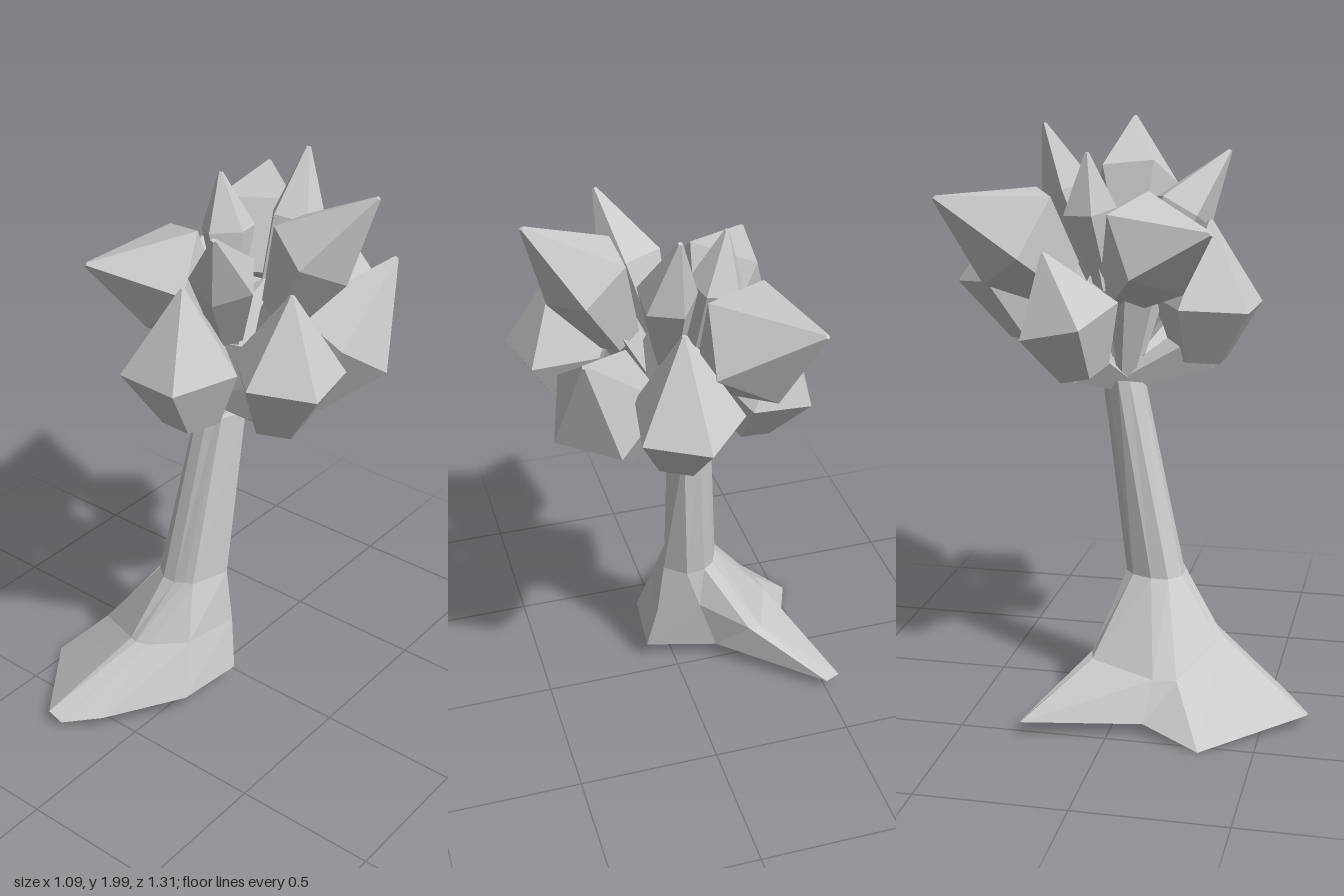
import * as THREE from 'three';

const material = new THREE.MeshStandardMaterial({ color: 0xcccccc, flatShading: true, side: THREE.DoubleSide });
const V = (p) => new THREE.Vector3(...p);

// Skin over a stack of rings (equal point counts, counter-clockwise about the axis), closed at the far end
function loft(rings, name, closedBase = true) {
  const pos = [];
  const tri = (...pts) => pts.forEach((p) => pos.push(p.x, p.y, p.z));
  const n = rings[0].length;
  const middle = (ring) => ring.reduce((s, p) => s.add(p), new THREE.Vector3()).divideScalar(n);
  const first = rings[0], last = rings[rings.length - 1];
  const c0 = middle(first), c1 = middle(last);
  for (let i = 0; i < n; i++) {
    const j = (i + 1) % n;
    for (let k = 0; k < rings.length - 1; k++) {
      const a = rings[k], b = rings[k + 1];
      tri(a[i], a[j], b[j]);
      tri(a[i], b[j], b[i]);
    }
    if (closedBase) tri(c0, first[j], first[i]);
    tri(c1, last[i], last[j]);
  }
  const geo = new THREE.BufferGeometry();
  geo.setAttribute('position', new THREE.Float32BufferAttribute(pos, 3));
  geo.computeVertexNormals();
  const mesh = new THREE.Mesh(geo, material);
  mesh.name = name;
  return mesh;
}

// Polygon ring around a centre, perpendicular to an axis
function ring(center, axis, radius, sides, turn) {
  const u = new THREE.Vector3(0, 0, 1).cross(axis).normalize();
  const v = axis.clone().cross(u).normalize();
  return Array.from({ length: sides }, (_, i) => {
    const t = turn + (i / sides) * Math.PI * 2;
    return center.clone().addScaledVector(u, Math.cos(t) * radius).addScaledVector(v, Math.sin(t) * radius);
  });
}

// Faceted leaf clump: narrow underside, wide waist, pointed tip
function clump({ bottom, waist, tip, r, turn = 0 }) {
  const b = V(bottom), w = V(waist), t = V(tip);
  const axis = t.clone().sub(b).normalize();
  return loft([
    ring(b, axis, r * 0.5, 5, turn),
    ring(w, axis, r, 5, turn),
    ring(t, axis, 0.008, 5, turn),
  ], 'leafClump');
}

// Branch that widens from the trunk top to a clump
function branch({ bottom, waist, r }) {
  const from = new THREE.Vector3(-0.02, 1.12, -0.04);
  const to = V(bottom).lerp(V(waist), 0.25);
  const axis = to.clone().sub(from).normalize();
  return loft([ring(from, axis, 0.035, 4, 0), ring(to, axis, r * 0.48, 4, 0)], 'branch');
}

export function createModel() {
  const group = new THREE.Group();

  // Hollow trunk with flared roots: corners run right, front, left, back
  const trunk = [
    // rim: broad front root, thin back root
    [[0.105, 0.08, 0.06], [0.08, 0.08, 0.31], [-0.1, 0.055, 0.56], [-0.22, 0.03, 0.65], [-0.28, 0.05, 0.65],
      [-0.54, 0.005, 0.32], [-0.46, 0.05, 0.12], [-0.55, 0.06, -0.28], [-0.5, 0.045, -0.29], [-0.15, 0.08, -0.01]],
    // shoulders of the roots
    [[0.07, 0.27, 0.03], [0.04, 0.27, 0.24], [-0.08, 0.25, 0.32], [-0.13, 0.25, 0.34], [-0.16, 0.25, 0.33],
      [-0.38, 0.18, 0.22], [-0.39, 0.18, 0.14], [-0.3, 0.2, -0.09], [-0.25, 0.21, -0.1], [-0.08, 0.3, -0.02]],
    // neck
    [[0.045, 0.47, 0.03], [0, 0.47, 0.17], [-0.03, 0.47, 0.18], [-0.07, 0.46, 0.19], [-0.12, 0.46, 0.19],
      [-0.17, 0.46, 0.15], [-0.17, 0.46, 0.09], [-0.14, 0.46, 0.02], [-0.1, 0.46, -0.01], [-0.03, 0.46, -0.02]],
    // top
    [[0.055, 1.1, -0.06], [0.02, 1.1, 0.03], [0, 1.1, 0.035], [-0.03, 1.11, 0.045], [-0.07, 1.13, 0.04],
      [-0.1, 1.14, 0], [-0.105, 1.14, -0.04], [-0.08, 1.12, -0.08], [-0.05, 1.1, -0.1], [0.01, 1.08, -0.115]],
  ];
  group.add(loft(trunk.map((r) => r.map(V).reverse()), 'trunk', false));

  // Crown of leaf clumps
  const clumps = [
    // lower tier
    { bottom: [0.33, 1.24, 0.13], waist: [0.37, 1.44, 0.13], tip: [0.38, 1.71, 0.13], r: 0.19, turn: 0.2 },
    { bottom: [0.05, 1.2, 0.22], waist: [0.03, 1.4, 0.25], tip: [0.04, 1.68, 0.25], r: 0.2, turn: 2.13 },
    { bottom: [-0.2, 1.19, -0.14], waist: [-0.24, 1.38, -0.19], tip: [-0.29, 1.6, -0.25], r: 0.185, turn: 0.5 },
    { bottom: [0.1, 1.25, -0.38], waist: [0.11, 1.46, -0.48], tip: [0.11, 1.74, -0.45], r: 0.185, turn: 1.1 },
    { bottom: [0.22, 1.2, -0.14], waist: [0.31, 1.4, -0.24], tip: [0.41, 1.66, -0.41], r: 0.2, turn: 0.8 },
    // upper tier
    { bottom: [-0.08, 1.48, -0.24], waist: [-0.14, 1.64, -0.38], tip: [-0.28, 1.77, -0.62], r: 0.205, turn: 0.4 },
    { bottom: [-0.1, 1.47, -0.02], waist: [-0.16, 1.62, 0.09], tip: [-0.32, 1.68, 0.31], r: 0.195, turn: 0.9 },
    { bottom: [0.21, 1.54, -0.05], waist: [0.32, 1.78, -0.07], tip: [0.52, 1.99, -0.11], r: 0.155, turn: 0.6 },
    // small spikes
    { bottom: [0.08, 1.5, -0.16], waist: [0.11, 1.77, -0.26], tip: [0.09, 1.99, -0.34], r: 0.1 },
    { bottom: [0.06, 1.45, 0.04], waist: [0.12, 1.7, 0.14], tip: [0.2, 1.9, 0.29], r: 0.115, turn: 0.7 },
    { bottom: [-0.05, 1.5, -0.1], waist: [-0.09, 1.72, -0.14], tip: [-0.12, 1.91, -0.14], r: 0.095, turn: 0.3 },
    // core of the crown
    { bottom: [0, 1.2, -0.05], waist: [0.03, 1.42, -0.06], tip: [0.1, 1.6, -0.1], r: 0.16, turn: 0.4 },
  ];
  clumps.forEach((c) => group.add(clump(c), branch(c)));
  return group;
}
